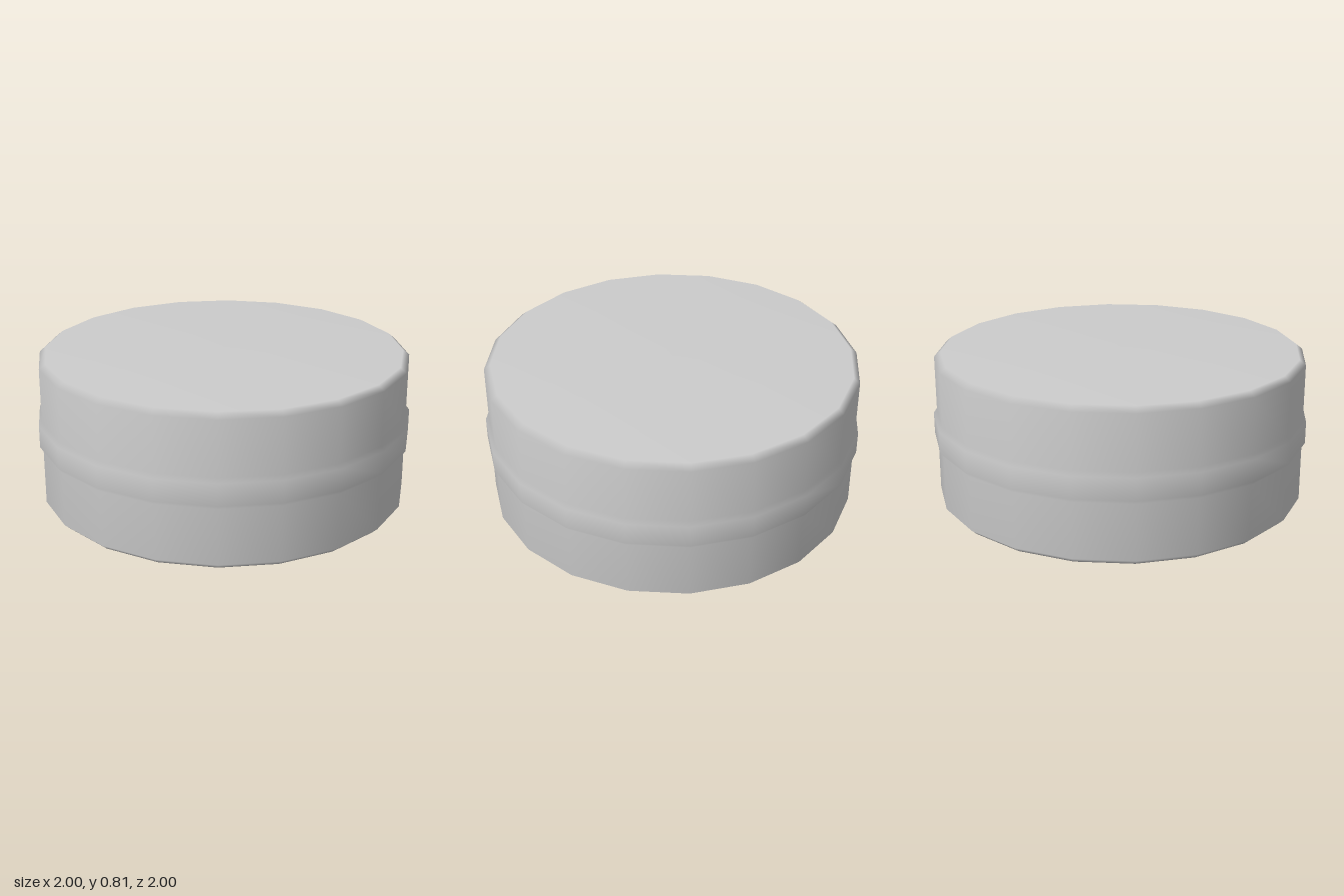
import * as THREE from 'three';

const SIDES = 20;

export function createModel() {
  const group = new THREE.Group();
  group.name = 'roundTin';

  // Half profile from the bottom centre to the top centre: [radius, height]
  const profile = [
    [0, 0], [0.95, 0.005], [0.983, 0.035], // base and lower bevel
    [0.983, 0.33], [1, 0.352], [1, 0.468], [0.983, 0.49], // raised band round the middle
    [0.983, 0.778], [0.95, 0.805], [0, 0.81], // upper bevel and lid
  ].map(([r, y]) => new THREE.Vector2(r, y));

  const body = new THREE.Mesh(
    new THREE.LatheGeometry(profile, SIDES),
    new THREE.MeshStandardMaterial({ color: 0xcccccc })
  );
  body.name = 'bandedBody';
  group.add(body);
  return group;
}
